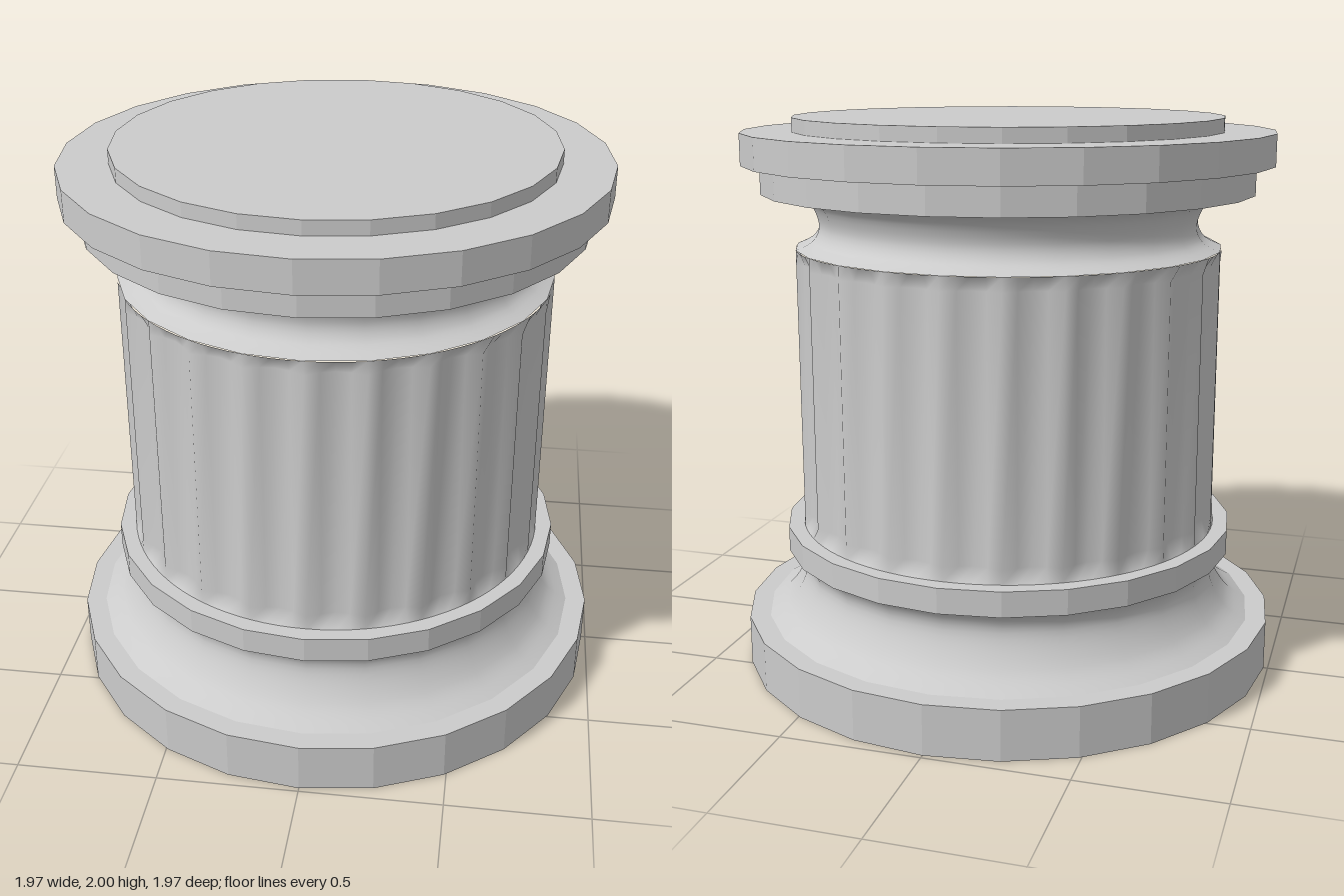
import * as THREE from 'three';
import { mergeVertices } from 'three/addons/utils/BufferGeometryUtils.js';

const SIDES = 24;
const smooth = new THREE.MeshStandardMaterial({ color: 0xcccccc });
const faceted = new THREE.MeshStandardMaterial({ color: 0xcccccc, flatShading: true });

// Plain faceted disc between two heights
function disc(name, radius, y0, y1) {
  const geometry = new THREE.CylinderGeometry(radius, radius, y1 - y0, SIDES);
  geometry.translate(0, (y0 + y1) / 2, 0);
  const mesh = new THREE.Mesh(geometry, faceted);
  mesh.name = name;
  return mesh;
}

// Smooth concave moulding turned from a few profile points, bottom to top
function moulding(name, points) {
  const curve = new THREE.SplineCurve(points.map(([r, y]) => new THREE.Vector2(r, y)));
  const mesh = new THREE.Mesh(new THREE.LatheGeometry(curve.getPoints(16), SIDES), smooth);
  mesh.name = name;
  return mesh;
}

// Shaft with scalloped flutes that fade out at both ends
function flutedShaft() {
  const flutes = 24, steps = 4, radius = 0.77, depth = 0.035;
  const rows = [[1.54, 0], [1.49, 1], [0.57, 1], [0.52, 0]];
  let geometry = new THREE.CylinderGeometry(radius, radius, 1, flutes * steps, rows.length - 1, true);
  const pos = geometry.attributes.position;
  const perRow = flutes * steps + 1;
  for (let i = 0; i < pos.count; i++) {
    const [y, amount] = rows[Math.floor(i / perRow)];
    const column = i % perRow;
    const angle = (column / (flutes * steps)) * Math.PI * 2;
    const r = radius - depth * amount * Math.sin(((column % steps) / steps) * Math.PI);
    pos.setXYZ(i, Math.sin(angle) * r, y, Math.cos(angle) * r);
  }
  // Weld the seam so the shading runs all the way round
  geometry.deleteAttribute('uv');
  geometry.deleteAttribute('normal');
  geometry = mergeVertices(geometry, 1e-4);
  geometry.computeVertexNormals();
  const mesh = new THREE.Mesh(geometry, smooth);
  mesh.name = 'flutedShaft';
  return mesh;
}

export function createModel() {
  const model = new THREE.Group();
  model.name = 'columnPedestal';
  model.add(
    // Base
    disc('plinth', 0.985, 0, 0.18),
    moulding('baseMoulding', [[0.91, 0.18], [0.84, 0.225], [0.79, 0.295], [0.77, 0.36], [0.79, 0.41], [0.83, 0.43]]),
    disc('baseRing', 0.83, 0.43, 0.52),
    // Shaft
    flutedShaft(),
    // Capital
    moulding('neckMoulding', [[0.77, 1.54], [0.71, 1.57], [0.685, 1.62], [0.7, 1.68], [0.73, 1.715], [0.78, 1.738]]),
    disc('lowerCapitalRing', 0.885, 1.738, 1.838),
    disc('upperCapitalRing', 0.95, 1.838, 1.95),
    disc('topDisc', 0.77, 1.95, 2)
  );
  return model;
}
